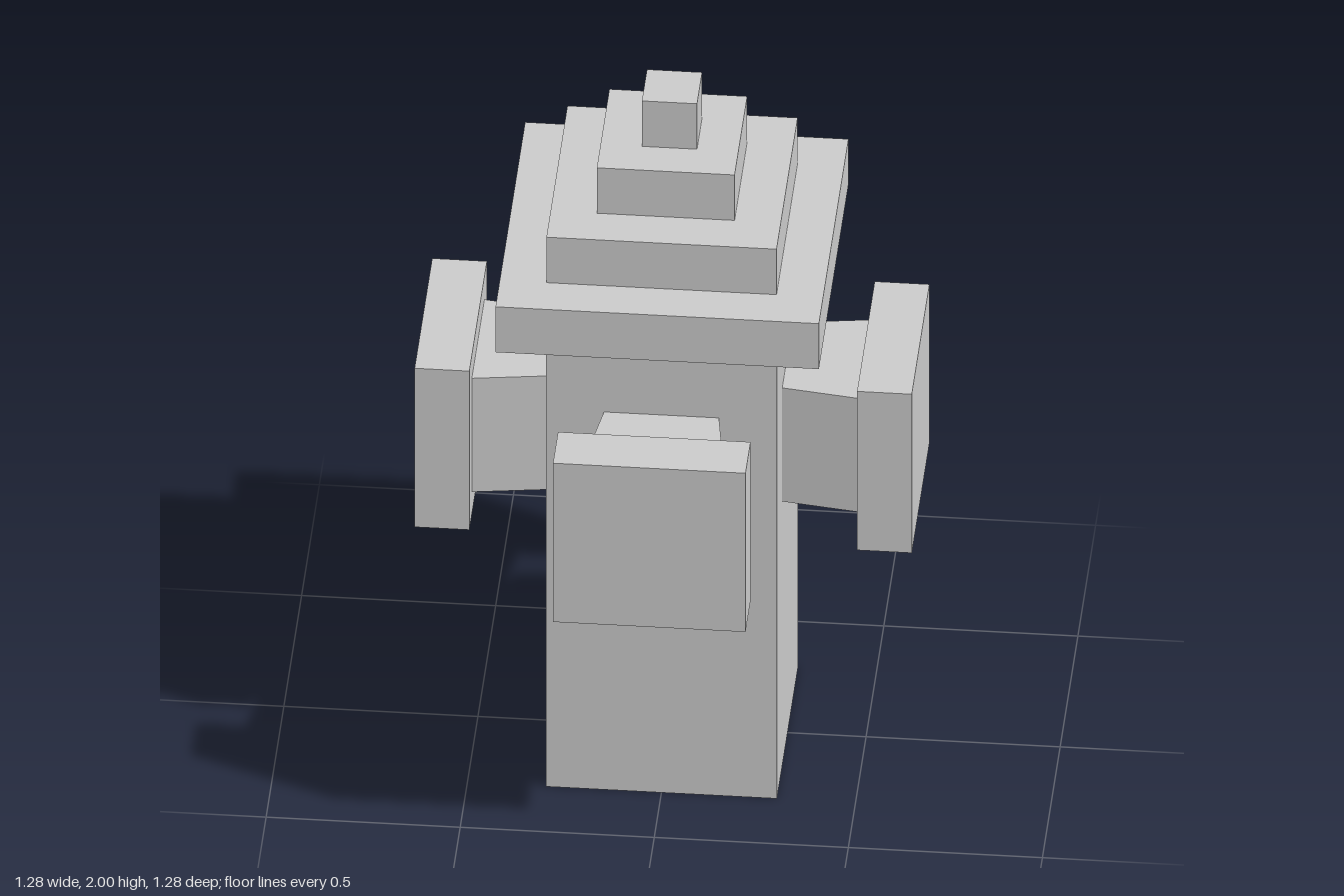
import * as THREE from 'three';

export function createModel() {
  const model = new THREE.Group();
  const material = new THREE.MeshStandardMaterial({ color: 0xcccccc, flatShading: true });

  // Square block standing on height y0
  const block = (name, width, y0, y1) => {
    const mesh = new THREE.Mesh(new THREE.BoxGeometry(width, y1 - y0, width), material);
    mesh.name = name;
    mesh.position.y = (y0 + y1) / 2;
    model.add(mesh);
  };

  block('body', 0.595, 0, 1.432);

  // Stepped cap
  const tiers = [['capBrim', 0.833], ['capLowerStep', 0.593], ['capUpperStep', 0.355], ['capKnob', 0.142]];
  tiers.forEach(([name, width], i) => block(name, width, 1.432 + i * 0.142, 1.432 + (i + 1) * 0.142));

  // Neck narrows sideways towards the body; its height stays the same
  const neckShape = new THREE.Shape([
    new THREE.Vector2(-0.148, -0.297),
    new THREE.Vector2(0.148, -0.297),
    new THREE.Vector2(0.178, -0.5),
    new THREE.Vector2(-0.178, -0.5),
  ]);
  const neckGeometry = new THREE.ExtrudeGeometry(neckShape, { depth: 0.355, bevelEnabled: false });
  neckGeometry.rotateX(-Math.PI / 2).translate(0, 0.825, 0);
  const flangeGeometry = new THREE.BoxGeometry(0.496, 0.496, 0.141).translate(0, 1.003, 0.57);

  // One outlet on each side
  ['front', 'left', 'back', 'right'].forEach((side, i) => {
    const outlet = new THREE.Group();
    outlet.name = side + 'Outlet';
    const neck = new THREE.Mesh(neckGeometry, material);
    neck.name = side + 'Neck';
    const flange = new THREE.Mesh(flangeGeometry, material);
    flange.name = side + 'Flange';
    outlet.add(neck, flange);
    outlet.rotation.y = i * Math.PI / 2;
    model.add(outlet);
  });

  return model;
}
